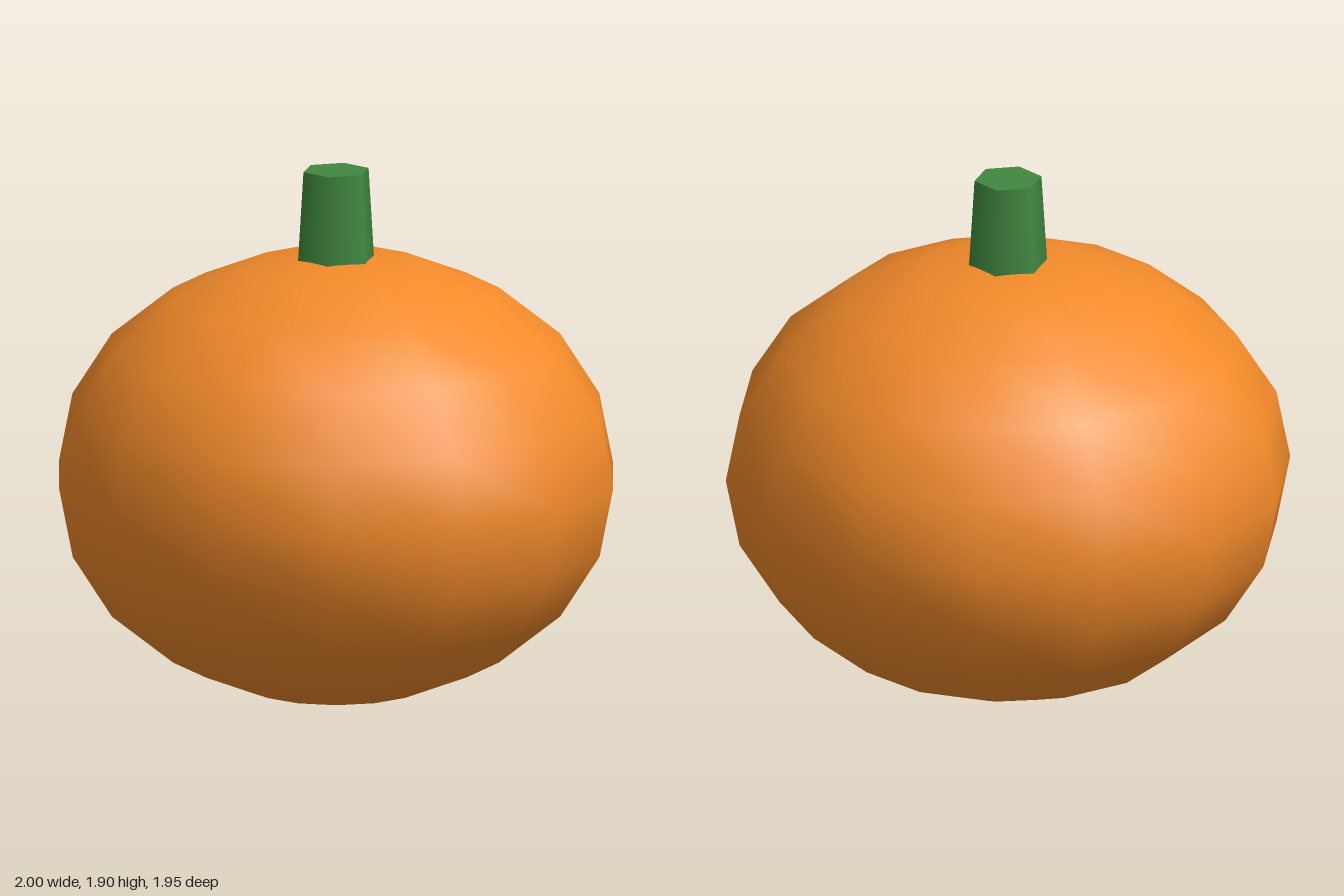
import * as THREE from 'three';

export function createModel() {
  const model = new THREE.Group();

  // Squashed round body, resting on its lower pole
  const body = new THREE.Mesh(
    new THREE.SphereGeometry(1, 14, 10),
    new THREE.MeshStandardMaterial({ color: 0xf28a2a })
  );
  body.name = 'pumpkinBody';
  body.scale.y = 0.8;
  body.position.y = 0.8;
  model.add(body);

  // Tapered six-sided stem, sunk slightly into the body
  const stem = new THREE.Mesh(
    new THREE.CylinderGeometry(0.12, 0.145, 0.4, 6),
    new THREE.MeshStandardMaterial({ color: 0x418740 })
  );
  stem.name = 'stem';
  stem.position.y = 1.7;
  model.add(stem);

  return model;
}
